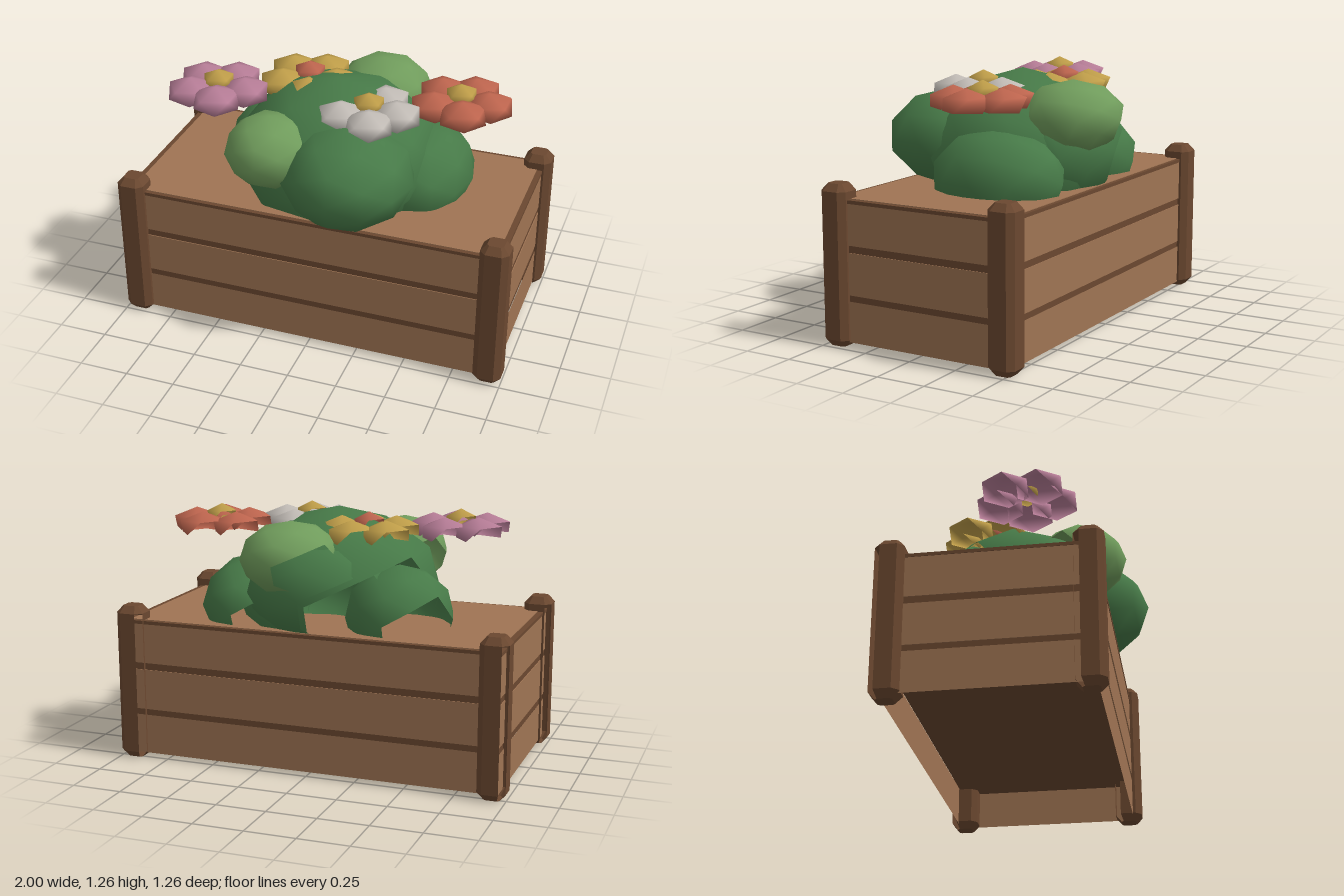
import * as THREE from 'three';

const mat = (color) => new THREE.MeshStandardMaterial({ color, side: THREE.DoubleSide });
const M = {
  plank: mat(0x9f7453), post: mat(0x6b4830), leaf: mat(0x477a48), lightLeaf: mat(0x709c5c),
  pink: mat(0xb87e98), red: mat(0xc0664f), white: mat(0xc4beb8), yellow: mat(0xc2a04a),
};

function add(parent, name, geo, material, x = 0, y = 0, z = 0) {
  const mesh = new THREE.Mesh(geo, material);
  mesh.name = name;
  mesh.position.set(x, y, z);
  parent.add(mesh);
  return mesh;
}

// Keeps only the triangles whose face normal passes the test
function keepFaces(geometry, test) {
  const g = geometry.index ? geometry.toNonIndexed() : geometry;
  const p = g.attributes.position, n = g.attributes.normal;
  const pos = [], nor = [], t = new THREE.Triangle(), face = new THREE.Vector3();
  for (let i = 0; i < p.count; i += 3) {
    t.setFromAttributeAndIndices(p, i, i + 1, i + 2);
    t.getNormal(face);
    if (!test(face)) continue;
    for (let k = i; k < i + 3; k++) {
      pos.push(p.getX(k), p.getY(k), p.getZ(k));
      nor.push(n.getX(k), n.getY(k), n.getZ(k));
    }
  }
  const out = new THREE.BufferGeometry();
  out.setAttribute('position', new THREE.Float32BufferAttribute(pos, 3));
  out.setAttribute('normal', new THREE.Float32BufferAttribute(nor, 3));
  return out;
}

// Posts, bushes and petals are left open towards the rear corner (-x, -z)
const rear = new THREE.Vector3(-1, -0.4, -1).normalize();
const notRear = (n) => n.dot(rear) < 0.72;

// Post with chamfered edges and ends
function postGeometry() {
  const a = 0.04, c = 0.028, h = 0.785;
  const s = new THREE.Shape([
    [a, -c], [a, c], [c, a], [-c, a], [-a, c], [-a, -c], [-c, -a], [c, -a],
  ].map(([x, y]) => new THREE.Vector2(x, y)));
  const g = new THREE.ExtrudeGeometry(s, {
    depth: h - 0.07, bevelEnabled: true, bevelThickness: 0.035, bevelSize: 0.03, bevelSegments: 1,
  });
  g.rotateX(-Math.PI / 2).translate(0, 0.035, 0);
  return keepFaces(g, notRear);
}

// Faceted dome: an upright icosahedron without its lower cap
function domeGeometry(r, ry) {
  const g = new THREE.IcosahedronGeometry(1, 0);
  g.rotateX(-Math.atan((1 + Math.sqrt(5)) / 2)).rotateY(-Math.PI / 2);
  g.attributes.normal.copy(g.attributes.position);
  return keepFaces(g, (n) => n.y > -0.5).scale(r, ry, r);
}

export function createModel() {
  const model = new THREE.Group();
  model.name = 'flowerPlanter';

  // Planter box: three plank courses around a darker core, open underneath
  const box = new THREE.Group();
  box.name = 'planterBox';
  box.position.z = -0.022;
  model.add(box);
  [[0.025, 0.225], [0.255, 0.46], [0.495, 0.695]].forEach(([y0, y1], i) => {
    let g = new THREE.BoxGeometry(1.92, y1 - y0, 0.965);
    if (i === 0) g = keepFaces(g, (n) => Math.abs(n.y) < 0.5);
    add(box, 'plankCourse', g, M.plank, 0, (y0 + y1) / 2, 0);
  });
  add(box, 'innerCore', new THREE.BoxGeometry(1.912, 0.48, 0.957), M.post, 0, 0.46, 0);
  add(box, 'topRim', new THREE.BoxGeometry(1.925, 0.017, 0.97), M.post, 0, 0.7035, 0);
  add(box, 'soilTop', new THREE.BoxGeometry(1.87, 0.02, 0.93), M.plank, 0, 0.705, 0);

  // Corner posts
  const post = postGeometry();
  for (const x of [-0.93, 0.93])
    for (const z of [-0.475, 0.435]) add(model, 'cornerPost', post, M.post, x, 0, z);

  // Bushes: centre, then radii
  const bushes = new THREE.Group();
  bushes.name = 'bushes';
  model.add(bushes);
  [
    ['centreBush', M.leaf, [0, 0.85, -0.02], [0.525, 0.415, 0.5]],
    ['frontBush', M.leaf, [0.15, 0.915, 0.29], [0.33, 0.25, 0.34]],
    ['leftFrontBush', M.lightLeaf, [-0.235, 1.0, 0.32], [0.225, 0.18, 0.23]],
    ['backLightBush', M.lightLeaf, [0.12, 1.055, -0.37], [0.25, 0.18, 0.26]],
    ['leftSideBush', M.leaf, [0.4, 0.77, -0.12], [0.27, 0.25, 0.35]],
    ['rightSideBush', M.leaf, [-0.37, 0.77, -0.18], [0.27, 0.25, 0.28]],
    ['backBush', M.leaf, [0.02, 0.88, -0.27], [0.37, 0.27, 0.28]],
  ].forEach(([name, material, c, r]) => {
    const g = keepFaces(new THREE.IcosahedronGeometry(1, 1), notRear).scale(...r);
    add(bushes, name, g, material, ...c);
  });

  // Flowers: five domed petals around a small domed centre
  const petal = domeGeometry(0.128, 0.0726);
  const centre = keepFaces(domeGeometry(0.085, 0.06), notRear);
  const petals = [0, 1, 2, 3, 4].map((i) => {
    const a = (i / 5) * Math.PI * 2;
    const g = petal.clone().rotateY(-a).translate(0.14 * Math.cos(a), 0, 0.14 * Math.sin(a));
    return keepFaces(g, notRear);
  });
  [
    ['pinkFlower', M.pink, M.yellow, -0.595, 0.095],
    ['yellowFlower', M.yellow, M.red, -0.2, -0.145],
    ['whiteFlower', M.white, M.yellow, 0.19, 0.095],
    ['redFlower', M.red, M.yellow, 0.585, -0.145],
  ].forEach(([name, petalMat, centreMat, x, z]) => {
    const flower = new THREE.Group();
    flower.name = name;
    flower.position.set(x, 1.167, z);
    model.add(flower);
    petals.forEach((g) => add(flower, 'petal', g, petalMat));
    add(flower, 'flowerCentre', centre, centreMat, 0, 0.038, 0);
  });

  return model;
}
